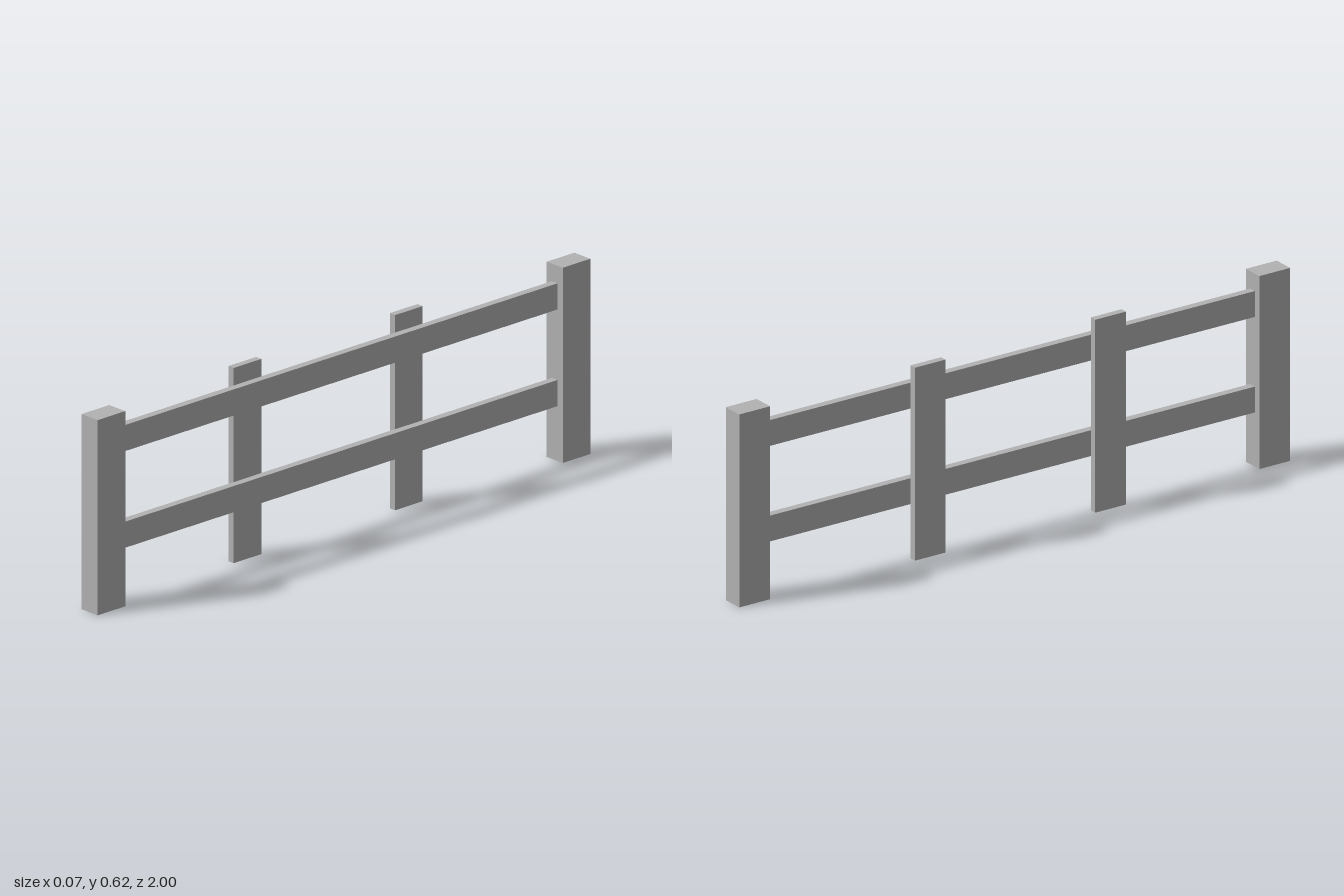
import * as THREE from 'three';

const HEIGHT = 0.62;
const LENGTH = 2;
const POST_WIDTH = 0.112; // along z
const HALF_DEPTH = 0.035;

// Box shell without its underside
function openBottomBox(w, h, d) {
  const geometry = new THREE.BoxGeometry(w, h, d);
  const index = Array.from(geometry.index.array);
  index.splice(18, 6); // the -y face
  geometry.setIndex(index);
  geometry.clearGroups();
  return geometry;
}

export function createModel() {
  const fence = new THREE.Group();
  fence.name = 'fence';
  const grey = new THREE.MeshStandardMaterial({ color: 0xb2b2b2, side: THREE.DoubleSide });
  grey.name = 'plain grey';

  const add = (name, geometry, x, y, z) => {
    const mesh = new THREE.Mesh(geometry, grey);
    mesh.name = name;
    mesh.position.set(x, y, z);
    fence.add(mesh);
  };

  // Thick posts at both ends
  const endPost = openBottomBox(HALF_DEPTH * 2, HEIGHT, POST_WIDTH);
  const endZ = (LENGTH - POST_WIDTH) / 2;
  add('frontEndPost', endPost, 0, HEIGHT / 2, endZ);
  add('backEndPost', endPost, 0, HEIGHT / 2, -endZ);

  // Thin uprights behind the rails
  const upright = openBottomBox(0.023, HEIGHT, POST_WIDTH);
  add('frontUpright', upright, -HALF_DEPTH + 0.0115, HEIGHT / 2, 0.348);
  add('backUpright', upright, -HALF_DEPTH + 0.0115, HEIGHT / 2, -0.307);

  // Horizontal rails between the end posts
  const rail = new THREE.BoxGeometry(0.025, 0.083, LENGTH - 2 * POST_WIDTH);
  add('lowerRail', rail, 0, 0.216, 0);
  add('upperRail', rail, 0, 0.523, 0);

  return fence;
}
